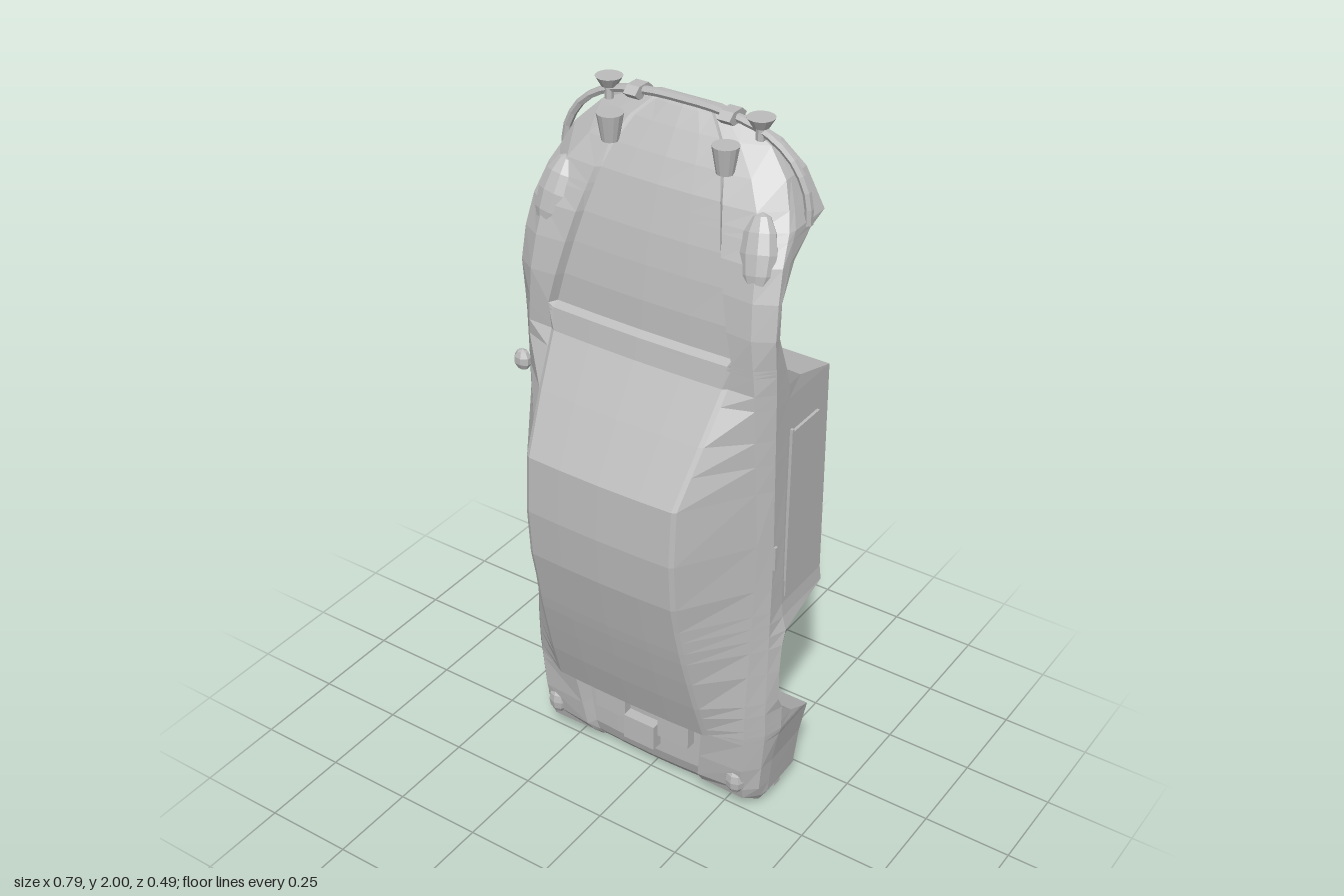
import * as THREE from 'three';

const paint = new THREE.MeshStandardMaterial({ color: 0xbcbcbc });
paint.name = 'grey';

// Piecewise-linear curve through [y, value] pairs
const curve = (pts) => (y) => {
  if (y <= pts[0][0]) return pts[0][1];
  for (let i = 1; i < pts.length; i++) {
    const [y0, v0] = pts[i - 1], [y1, v1] = pts[i];
    if (y <= y1) return v0 + (v1 - v0) * (y - y0) / (y1 - y0);
  }
  return pts[pts.length - 1][1];
};

// Body curves along the length: y runs from tail to nose, z up to the roof
const zTop = curve([[.02, -.02], [.06, .012], [.1, .025], [.295, .03], [.305, .105], [.45, .152], [.62, .197], [.8, .235],
  [.94, .245], [1.1, .235], [1.25, .15], [1.38, .072], [1.44, .062], [1.45, .04], [1.55, .035], [1.68, .012],
  [1.81, -.03], [1.86, -.055], [1.93, -.1], [1.97, -.13], [1.985, -.145]]);
const xTop = curve([[.02, .17], [.1, .175], [.295, .2], [.305, .235], [.62, .22], [.72, .215], [1.1, .215], [1.25, .235],
  [1.38, .25], [1.45, .258], [1.85, .16], [1.93, .12], [1.97, .08], [1.985, .05]]);
const lip = curve([[.02, 0], [.06, .006], [.1, .02], [.295, .04], [.305, -.012], [1.38, -.014], [1.44, -.004],
  [1.45, .018], [1.68, .014], [1.85, 0], [1.985, -.004]]);
const xBelt = curve([[.02, .3], [.06, .32], [.3, .335], [.9, .35], [1.38, .335], [1.55, .32], [1.7, .305], [1.81, .27],
  [1.9, .21], [1.97, .12], [1.985, .07]]);
const zBelt = curve([[.02, -.02], [.06, .02], [.15, .045], [.4, .055], [.9, .04], [1.38, .055], [1.55, .058], [1.68, .03],
  [1.81, -.035], [1.9, -.09], [1.97, -.14], [1.985, -.15]]);
const xSide = curve([[.02, .335], [.06, .355], [.3, .375], [1.55, .372], [1.68, .362], [1.77, .345], [1.87, .3],
  [1.93, .24], [1.97, .15], [1.985, .085]]);
const zSide = curve([[.02, -.04], [.1, 0], [.4, .012], [.9, 0], [1.4, .015], [1.55, .03], [1.68, .0], [1.81, -.085],
  [1.93, -.14], [1.985, -.155]]);
const xSill = curve([[.02, .33], [.06, .36], [.24, .375], [.3, .393], [.64, .393], [.7, .378], [1.34, .372], [1.6, .37],
  [1.77, .35], [1.87, .3], [1.93, .24], [1.97, .15], [1.985, .085]]);
const zFloor = curve([[.02, -.165], [.06, -.185], [.28, -.2], [.68, -.243], [1.34, -.243], [1.77, -.215], [1.87, -.208],
  [1.93, -.195], [1.985, -.172]]);
// Height of the wheel openings; equals the floor elsewhere
const rearArch = curve([[.28, -.2], [.33, -.1], [.38, -.045], [.42, -.025], [.52, -.022], [.6, -.03], [.64, -.055], [.68, -.243]]);
const frontArch = curve([[1.34, -.243], [1.38, -.1], [1.43, -.03], [1.53, .008], [1.62, 0], [1.7, -.07], [1.75, -.15], [1.77, -.215]]);
const zArch = (y) => y > .28 && y < .68 ? rearArch(y) : y > 1.34 && y < 1.77 ? frontArch(y) : zFloor(y);

const stations = [.02, .06, .1, .18, .28, .295, .305, .33, .38, .42, .52, .6, .64, .68, .72, .8, .94, 1.1, 1.18, 1.25, 1.34,
  1.38, 1.43, 1.44, 1.45, 1.53, 1.62, 1.7, 1.75, 1.77, 1.81, 1.87, 1.93, 1.97, 1.985];

function section(y) {
  const t = zTop(y), xt = xTop(y), xs = xSill(y), f = zFloor(y), a = zArch(y), xi = Math.min(.19, xs * .6);
  const half = [[0, t], [xt * .55, t - .002], [xt, t - .006], [xt + .012, t + lip(y)], [xBelt(y), zBelt(y)],
    [xSide(y), zSide(y)], [xs, Math.max(a, Math.min(zSide(y) - .02, -.045))],
    [xs - .003, a], [xi, a], [xi, f], [0, f]];
  const mirrored = half.slice(1, -1).reverse().map(([x, z]) => [-x, z]);
  return [...half, ...mirrored].map(([x, z]) => [x, y, z]);
}

function bodyGeometry() {
  const rings = stations.map(section), n = rings[0].length, pos = [];
  const tri = (...p) => p.forEach((v) => pos.push(...v));
  for (let s = 0; s + 1 < rings.length; s++) {
    for (let i = 0; i < n; i++) {
      const j = (i + 1) % n, a = rings[s][i], b = rings[s][j], c = rings[s + 1][j], d = rings[s + 1][i];
      // Diagonals mirror between the two halves
      if (i < n / 2) { tri(a, b, c); tri(a, c, d); } else { tri(a, b, d); tri(b, c, d); }
    }
  }
  const first = rings[0], last = rings[rings.length - 1];
  for (let i = 0; i < n; i++) {
    const j = (i + 1) % n;
    tri([0, .02, -.09], first[j], first[i]);
    tri([0, 1.987, -.158], last[i], last[j]);
  }
  const g = new THREE.BufferGeometry();
  g.setAttribute('position', new THREE.Float32BufferAttribute(pos, 3));
  return g;
}

export function createModel() {
  const model = new THREE.Group();
  model.name = 'carBody';

  const add = (name, geometry, x = 0, y = 0, z = 0, rx = 0, rz = 0) => {
    const g = geometry.index ? geometry.toNonIndexed() : geometry;
    g.computeVertexNormals();
    const mesh = new THREE.Mesh(g, paint);
    mesh.name = name;
    mesh.position.set(x, y, z);
    mesh.rotation.set(rx, 0, rz);
    model.add(mesh);
    return mesh;
  };
  const box = (w, h, d) => new THREE.BoxGeometry(w, h, d);

  add('bodyShell', bodyGeometry());

  // Front bumper rail wrapped around the nose
  const rail = [[-.35, 1.76], [-.345, 1.83], [-.3, 1.91], [-.22, 1.962], [-.1, 1.985], [0, 1.988],
    [.1, 1.985], [.22, 1.962], [.3, 1.91], [.345, 1.83], [.35, 1.76]];
  const railPath = new THREE.CatmullRomCurve3(rail.map(([x, y]) => new THREE.Vector3(x, y, -.137)));
  add('frontBumperRail', new THREE.TubeGeometry(railPath, 24, .011, 6));

  // Rear bumper strip
  add('rearBumperStrip', box(.68, .016, .03), 0, .02, -.13);

  for (const s of [-1, 1]) {
    // Nose fittings
    add('frontOverrider', new THREE.CylinderGeometry(.038, .038, .035, 6), s * .132, 1.98, -.138, 0, Math.PI / 2).scale.set(.5, 1, 1);
    add('fogLamp', new THREE.CylinderGeometry(.035, .02, .025, 14), s * .214, 1.985, -.135);
    add('fogLampStem', new THREE.CylinderGeometry(.012, .012, .04, 6), s * .214, 1.96, -.135);
    add('hoodLamp', new THREE.CylinderGeometry(.034, .022, .07, 14), s * .163, 1.905, -.066);

    // Raised headlamp pods on the front wings
    const pod = add('headlampPod', new THREE.SphereGeometry(1, 10, 6), s * .29, 1.72, -.015, -.35, s * .15);
    pod.scale.set(.05, .1, .035);

    // Tail fittings
    const tail = add('tailLamp', new THREE.SphereGeometry(1, 8, 6), s * .3, .13, .03);
    tail.scale.set(.03, .045, .025);
    add('rearOverrider', box(.028, .035, .06), s * .2, .02, -.135);

    // Door panel, crease and handle
    add('doorPanel', box(.008, .5, .13), s * .377, .99, -.12);
    add('doorCrease', box(.008, .46, .008), s * .379, 1.02, -.055);
    add('doorHandle', box(.012, .07, .01), s * .374, .89, -.003);
  }

  // Engine blocks in the open rear bay
  add('engineCentre', box(.1, .08, .05), 0, .17, .035);
  add('engineLeft', box(.1, .1, .04), .11, .235, .035);
  add('engineRight', box(.1, .08, .04), -.1, .235, .035);

  // Exhaust pipe under the tail
  add('exhaustPipe', new THREE.CylinderGeometry(.008, .008, .11, 8), .2, .08, -.188);

  // Single wing mirror
  const mirror = add('wingMirror', new THREE.SphereGeometry(1, 7, 5), -.36, 1.255, .056);
  mirror.scale.set(.026, .03, .02);
  add('mirrorStem', box(.03, .012, .012), -.342, 1.255, .045);

  return model;
}
